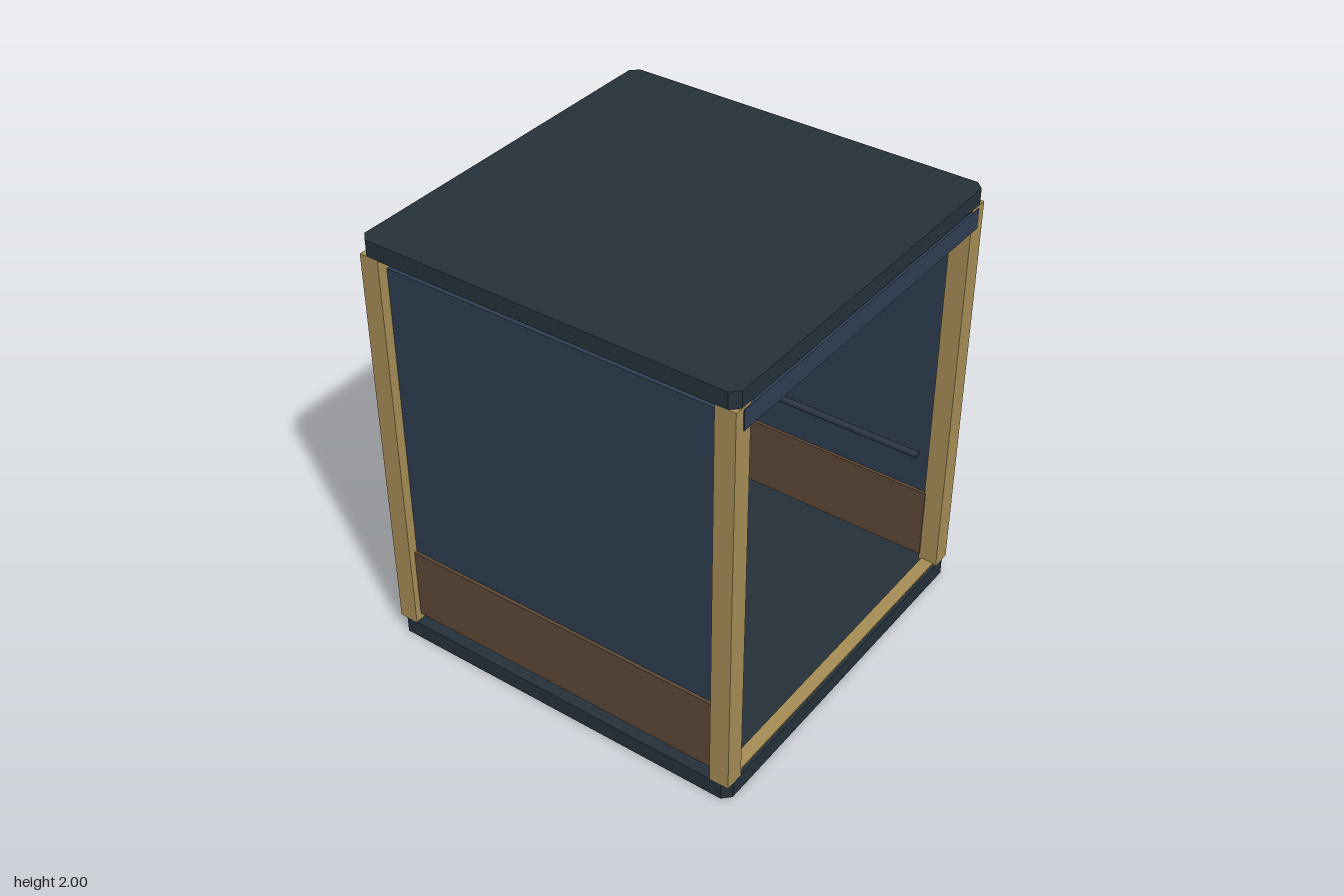
import * as THREE from 'three';

const mat = (name, color, side = THREE.FrontSide) => {
  const m = new THREE.MeshStandardMaterial({ color, side });
  m.name = name;
  return m;
};

export function createModel() {
  const slate = mat('dark slate', 0x25313a);
  const navy = mat('navy panel', 0x2f3e52);
  const brass = mat('brass', 0xa68c56);
  const wood = mat('brown wood', 0x5c4837);
  const cream = mat('warm light', 0xd8cab2);
  const trim = mat('dark trim', 0x2b3542);

  const car = new THREE.Group();
  car.name = 'liftCar';

  const add = (name, geometry, material, x = 0, y = 0, z = 0, parent = car) => {
    const mesh = new THREE.Mesh(geometry, material);
    mesh.name = name;
    mesh.position.set(x, y, z);
    parent.add(mesh);
    return mesh;
  };
  // Box given by its centre in x and z and its bottom and top in y
  const box = (name, material, w, d, y0, y1, x = 0, z = 0) =>
    add(name, new THREE.BoxGeometry(w, y1 - y0, d), material, x, (y0 + y1) / 2, z);
  const polygon = (points) => new THREE.Shape(points.map(([x, y]) => new THREE.Vector2(x, y)));
  // Square with cut corners
  const cutSquare = (h, c) => polygon([
    [-h + c, -h], [h - c, -h], [h, -h + c], [h, h - c],
    [h - c, h], [-h + c, h], [-h, h - c], [-h, -h + c],
  ]);
  const extrude = (shape, depth) =>
    new THREE.ExtrudeGeometry(shape, { depth, bevelEnabled: false });

  // Floor and roof slabs with cut corners
  const slab = (name, y0, y1) => {
    const g = extrude(cutSquare(0.865, 0.035), y1 - y0);
    g.rotateX(-Math.PI / 2);
    add(name, g, slate, 0, y0, 0);
  };
  slab('floor', 0, 0.08);
  slab('roof', 1.925, 2);
  box('ceilingLight', cream, 1.44, 1.44, 1.92, 1.926);

  // Four corner posts
  for (const x of [-0.82, 0.82])
    for (const z of [-0.82, 0.82])
      box('cornerPost', brass, 0.09, 0.09, 0.078, 1.926, x, z);

  // Open ends: header beam above, sill below
  for (const s of [-1, 1]) {
    box('header', navy, 1.64, 0.08, 1.825, 1.915, 0, s * 0.829);
    box('doorSill', brass, 1.55, 0.06, 0.078, 0.088, 0, s * 0.82);
  }

  // Side walls with wood lower panels and handrails
  for (const s of [-1, 1]) {
    box('sideWall', navy, 0.035, 1.56, 0.45, 1.87, s * 0.803, 0);
    box('lowerPanel', wood, 0.065, 1.56, 0.11, 0.457, s * 0.803, 0);
    const rail = new THREE.CylinderGeometry(0.016, 0.016, 1.48, 8);
    rail.rotateX(Math.PI / 2);
    add('handrail', rail, trim, s * 0.747, 0.67, 0);
  }

  // Control panel on the left wall; local z points into the car
  const panel = new THREE.Group();
  panel.name = 'controlPanel';
  panel.position.set(0.735, 0, -0.64);
  panel.rotation.y = -Math.PI / 2;
  car.add(panel);
  add('controlPlate', new THREE.BoxGeometry(0.19, 0.42, 0.018), trim, 0, 0.91, -0.009, panel);

  const frame = cutSquare(0.053, 0.014);
  frame.holes.push(cutSquare(0.042, 0.01));
  for (const [y, up] of [[0.93, 1], [0.785, -1]]) {
    add('buttonFrame', extrude(frame, 0.008), brass, 0, y, 0, panel);
    add('buttonFace', extrude(cutSquare(0.043, 0.01), 0.004), slate, 0, y, 0, panel);
    const arrow = polygon([[-0.024, -0.018 * up], [0.024, -0.018 * up], [0, 0.024 * up]]);
    add('buttonArrow', extrude(arrow, 0.004), brass, 0, y, 0.004, panel);
  }

  return car;
}
